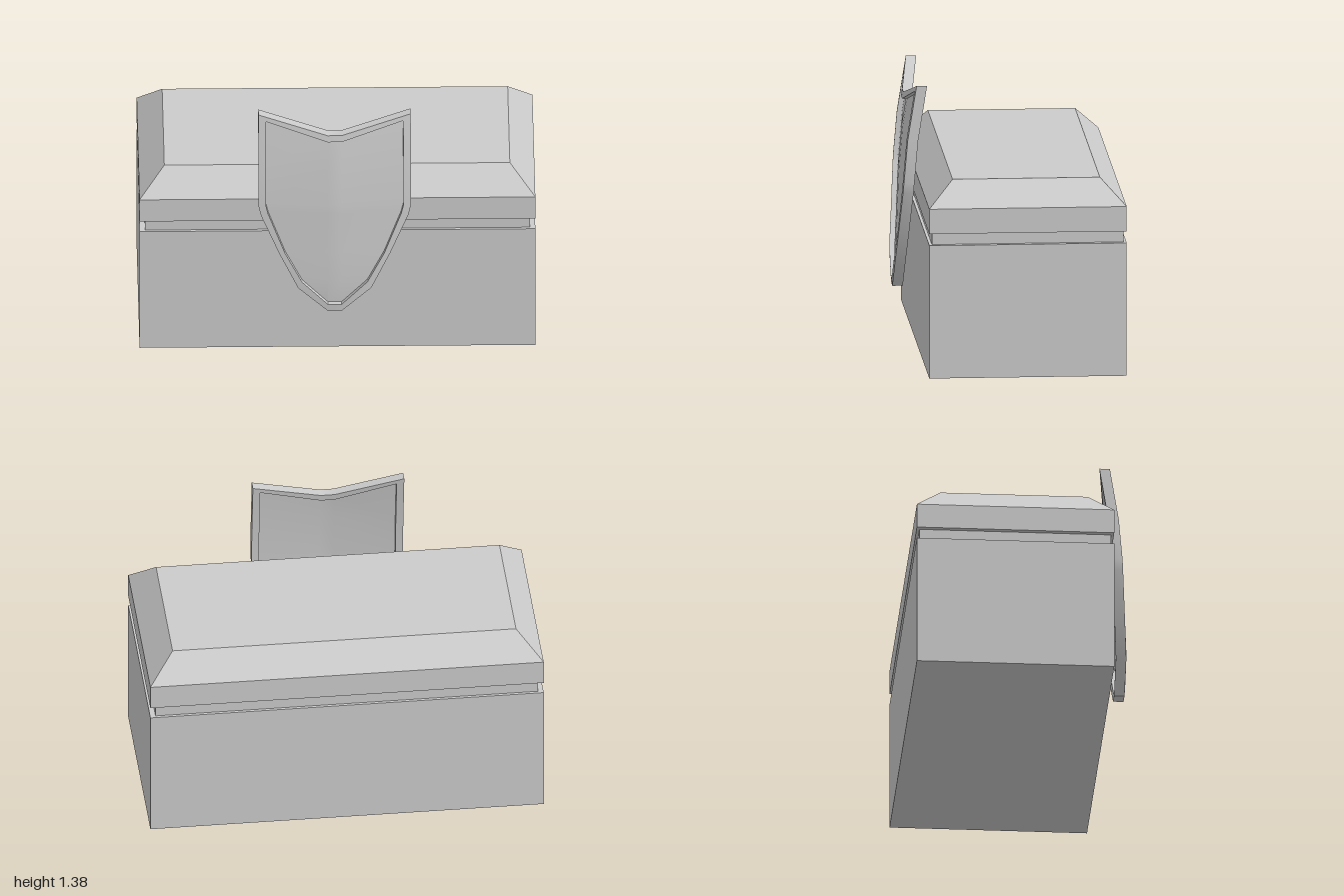
import * as THREE from 'three';
import { toCreasedNormals } from 'three/addons/utils/BufferGeometryUtils.js';

const grey = new THREE.MeshStandardMaterial({ color: 0xcccccc });
const greyThin = new THREE.MeshStandardMaterial({ color: 0xcccccc, side: THREE.DoubleSide });

const Z0 = -0.06;      // chest centre in z
const SHIELD_X = -0.015;
const THICK = 0.053;

function add(group, name, geometry, material = grey) {
  const mesh = new THREE.Mesh(geometry, material);
  mesh.name = name;
  group.add(mesh);
  return mesh;
}

// Shield half outlines as [half width, y], from the bottom tip up to the notch
const OUTER = [[0.035, 0.28], [0.185, 0.415], [0.28, 0.61], [0.372, 0.825], [0.385, 0.88],
  [0.385, 1.1], [0.385, 1.38], [0.035, 1.28]];
const INNER = [[0.035, 0.32], [0.165, 0.45], [0.25, 0.61], [0.336, 0.835], [0.347, 0.88],
  [0.347, 1.1], [0.347, 1.345], [0.035, 1.245]];

// Front surface of the shield: leaning curve over y plus a bulge toward the middle
const LEAN = [[0.28, 0.53], [0.43, 0.542], [0.61, 0.534], [0.87, 0.524], [1.1, 0.504], [1.38, 0.459]];
function shieldZ(x, y) {
  let k = 0;
  while (k < LEAN.length - 2 && y > LEAN[k + 1][0]) k++;
  const [y0, z0] = LEAN[k], [y1, z1] = LEAN[k + 1];
  const lean = z0 + (z1 - z0) * (y - y0) / (y1 - y0);
  return lean + 0.027 * (1 - Math.max(Math.abs(x) - 0.035, 0) / 0.35);
}

// Grid of points to an indexed geometry; wrap closes it in both directions
function gridGeometry(rows, wrap) {
  const n = rows[0].length, m = rows.length, index = [];
  for (let j = 0; j < (wrap ? m : m - 1); j++) {
    for (let i = 0; i < (wrap ? n : n - 1); i++) {
      const a = j * n + i, b = j * n + (i + 1) % n;
      const d = ((j + 1) % m) * n + i, c = ((j + 1) % m) * n + (i + 1) % n;
      index.push(a, b, c, a, c, d);
    }
  }
  const geometry = new THREE.BufferGeometry();
  geometry.setAttribute('position', new THREE.Float32BufferAttribute(rows.flat(2), 3));
  geometry.setIndex(index);
  geometry.computeVertexNormals();
  return geometry;
}

// Closed ring of a mirrored half outline, set back from the front surface
function ring(half, back) {
  const mirrored = half.map(([x, y]) => [-x, y]).reverse();
  return [...half, ...mirrored].map(([x, y]) => [x, y, shieldZ(x, y) - back]);
}

function createShield() {
  const shield = new THREE.Group();
  shield.name = 'shield';

  // Raised rim with a rectangular section
  const rim = gridGeometry([ring(OUTER, 0), ring(INNER, 0), ring(INNER, THICK), ring(OUTER, THICK)], true);
  add(shield, 'shieldRim', toCreasedNormals(rim, 0.6));

  // Thin panel sunk into the rim on both sides; its top edge dips at the notch
  const rows = INNER.slice(0, 7).map(([w, y], r) => {
    const midY = r === 6 ? INNER[7][1] : y;
    return [[-w, y], [-0.035, midY], [0.035, midY], [w, y]]
      .map(([x, py]) => [x, py, shieldZ(x, py) - THICK / 2]);
  });
  add(shield, 'shieldPanel', gridGeometry(rows, false), greyThin);

  shield.position.x = SHIELD_X;
  return shield;
}

export function createModel() {
  const group = new THREE.Group();
  group.name = 'chest';

  // Body and the recessed band under the lid
  add(group, 'chestBody', new THREE.BoxGeometry(2, 0.685, 1)).position.set(0, 0.3425, Z0);
  add(group, 'recessedBand', new THREE.BoxGeometry(1.945, 0.06, 0.97)).position.set(0, 0.715, Z0);

  // Lid: upright sides, then a chamfer up to the flat top
  let lid = new THREE.BoxGeometry(2, 0.255, 1, 1, 2, 1);
  const p = lid.attributes.position;
  for (let i = 0; i < p.count; i++) {
    const x = p.getX(i), y = p.getY(i), z = p.getZ(i);
    if (y > 0.1) p.setXYZ(i, x - Math.sign(x) * 0.127, y, z - Math.sign(z) * 0.127);
  }
  lid = lid.toNonIndexed();
  lid.computeVertexNormals();
  add(group, 'lid', lid).position.set(0, 0.8725, Z0);

  group.add(createShield());
  return group;
}
